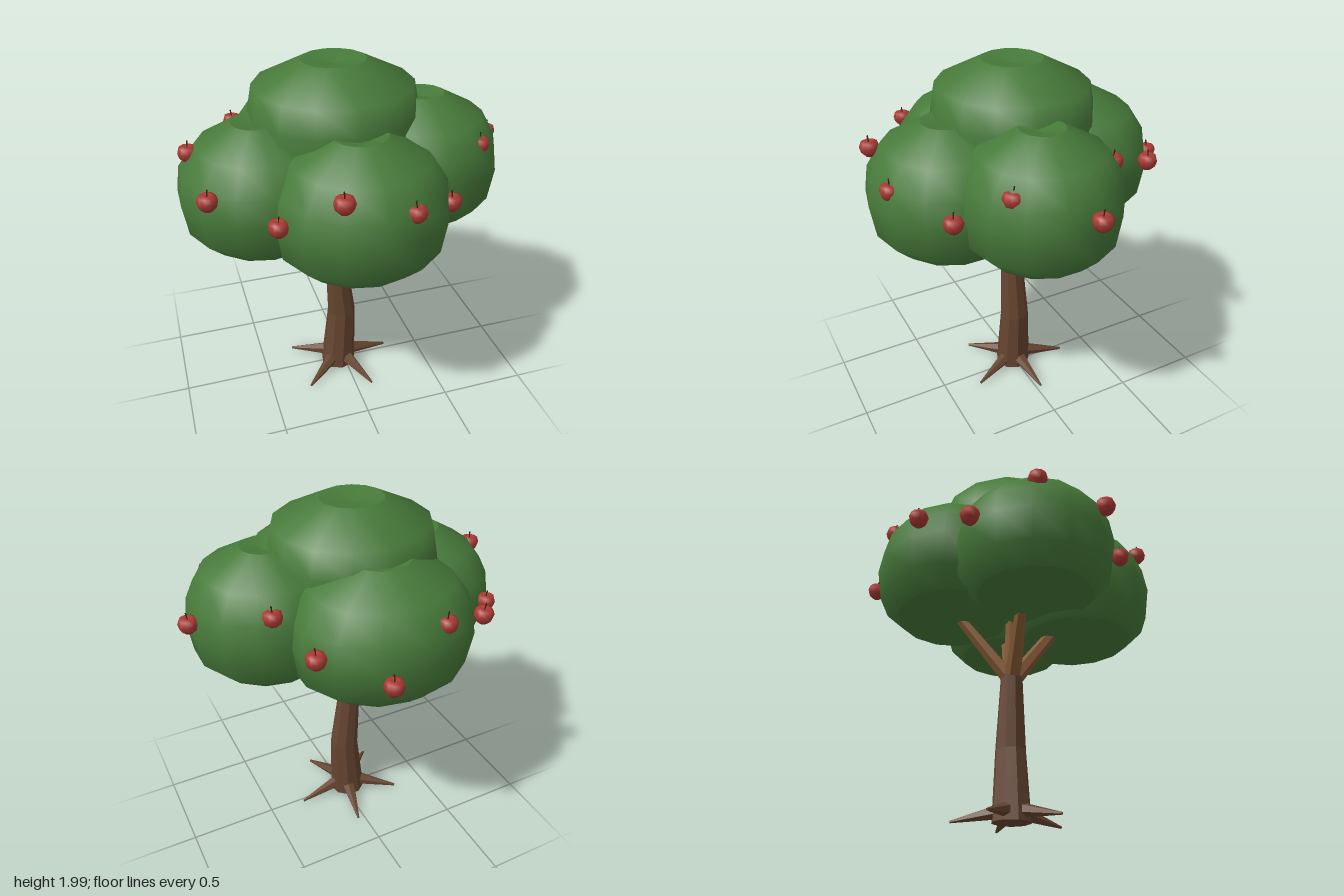
import * as THREE from 'three';

const mat = (name, color, flatShading = false) => {
  const m = new THREE.MeshStandardMaterial({ color, flatShading });
  m.name = name;
  return m;
};

export function createModel() {
  const tree = new THREE.Group();
  tree.name = 'appleTree';
  const bark = mat('bark', 0x664530, true);
  const branchWood = mat('branchWood', 0x845a34, true);
  const leaf = mat('leaf', 0x477a3a);
  const appleRed = mat('appleRed', 0xaa3a34);
  const stemBrown = mat('stemBrown', 0x3d2517);

  const add = (name, geometry, material, parent = tree) => {
    const mesh = new THREE.Mesh(geometry, material);
    mesh.name = name;
    parent.add(mesh);
    return mesh;
  };

  // Tapered limb between two points
  const limb = (name, from, to, r0, r1, sides, material) => {
    const a = new THREE.Vector3(...from), b = new THREE.Vector3(...to);
    const dir = b.clone().sub(a);
    const mesh = add(name, new THREE.CylinderGeometry(r1, r0, dir.length(), sides), material);
    mesh.position.copy(a).add(b).multiplyScalar(0.5);
    mesh.quaternion.setFromUnitVectors(new THREE.Vector3(0, 1, 0), dir.normalize());
    return mesh;
  };

  // Trunk: three rings, leaning slightly at the middle
  const rings = [[0.01, -0.037, 0.106], [0.4, -0.013, 0.085], [0.87, -0.055, 0.059]];
  const trunk = new THREE.CylinderGeometry(1, 1, 2, 9, 2);
  const p = trunk.attributes.position;
  for (let i = 0; i < p.count; i++) {
    const [y, x, r] = rings[Math.round(p.getY(i) + 1)];
    p.setXYZ(i, x + p.getX(i) * r, y, p.getZ(i) * r);
  }
  trunk.computeVertexNormals();
  add('trunk', trunk, bark);

  // Five roots spread evenly around the base
  for (let i = 0; i < 5; i++) {
    const a = (-5 + i * 72) * Math.PI / 180, c = Math.cos(a), s = Math.sin(a);
    limb('root', [-0.03 + 0.06 * c, 0.07, 0.06 * s], [-0.03 + 0.32 * c, 0.02, 0.32 * s], 0.042, 0.007, 6, bark);
  }

  // Branches reaching up into the leaves
  [[-0.34, 1.25, 0.02], [0.28, 1.22, 0.02], [-0.07, 1.25, 0.35], [0, 1.25, -0.35], [-0.04, 1.35, 0]].forEach(
    (end) => limb('branch', [-0.055 + end[0] * 0.08, 0.82, end[2] * 0.08], end, 0.045, 0.028, 6, branchWood));

  // Leaf clumps: flat bottom, rounded sides, dimpled top (doubled points keep the rims sharp)
  const clump = (name, x, z, rx, rz, bottom, top, shoulder, rim) => {
    const profile = [[0, 0], [0.71, 0], [0.71, 0], [0.94, 0.15], [1, 0.42], [0.95, 0.63],
      [shoulder, 0.83], [rim, 1], [rim, 1], [0, 0.96]].map((q) => new THREE.Vector2(...q));
    const mesh = add(name, new THREE.LatheGeometry(profile, 14), leaf);
    mesh.position.set(x, bottom, z);
    mesh.scale.set(rx, top - bottom, rz);
  };
  clump('leftClump', 0.41, 0.07, 0.43, 0.42, 1.14, 1.8, 0.77, 0.28);
  clump('rightClump', -0.475, 0.05, 0.43, 0.435, 1.1, 1.74, 0.73, 0.3);
  clump('frontClump', -0.03, 0.38, 0.465, 0.445, 1.07, 1.74, 0.76, 0.3);
  clump('backClump', -0.045, -0.34, 0.5, 0.445, 1.15, 1.8, 0.76, 0.3);
  clump('topClump', -0.05, -0.01, 0.475, 0.455, 1.28, 2, 0.89, 0.36);

  // Apples: x and z around the crown, at three repeating heights
  const body = new THREE.LatheGeometry([[0, -0.036], [0.024, -0.043], [0.045, -0.022], [0.053, 0.008],
    [0.044, 0.034], [0.022, 0.042], [0, 0.03]].map((q) => new THREE.Vector2(...q)), 9);
  const stem = new THREE.CylinderGeometry(0.004, 0.003, 0.04, 5);
  const spots = [[0.85, 0], [0.63, 0.34], [0.4, 0.54], [0.12, 0.75], [-0.22, 0.735], [-0.48, 0.53], [-0.78, 0.365],
    [-0.82, 0], [-0.72, -0.33], [-0.51, -0.58], [-0.2, -0.7], [0.13, -0.79], [0.42, -0.57], [0.51, -0.28]];
  spots.forEach(([x, z], i) => {
    const apple = new THREE.Group();
    apple.name = 'apple';
    apple.position.set(x, [1.49, 1.585, 1.39][i % 3], z);
    apple.rotation.y = i;
    add('appleBody', body, appleRed, apple);
    const s = add('appleStem', stem, stemBrown, apple);
    s.position.set(0.003, 0.048, 0);
    s.rotation.z = -0.15;
    tree.add(apple);
  });
  return tree;
}
